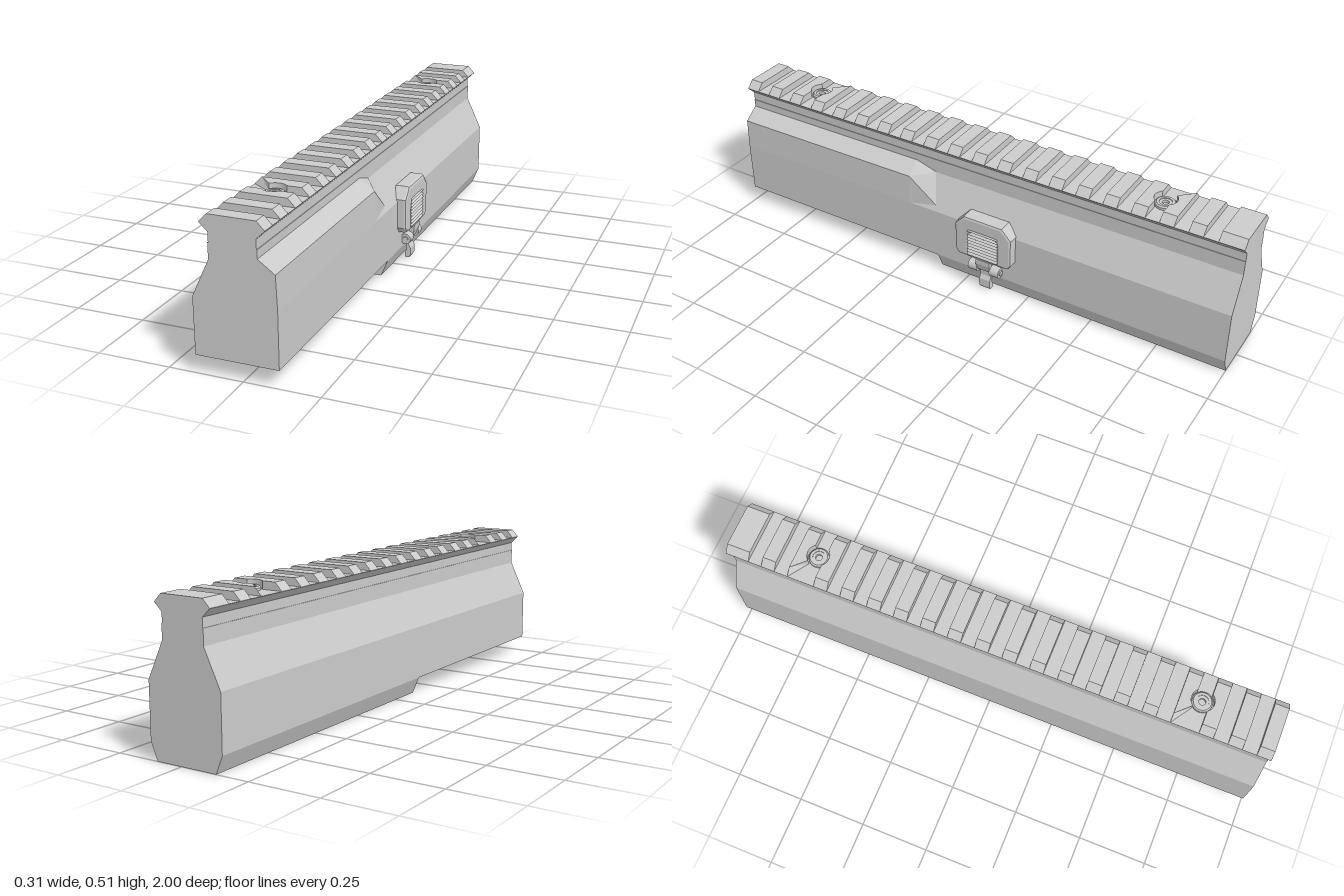
import * as THREE from 'three';
import { ConvexGeometry } from 'three/addons/geometries/ConvexGeometry.js';

const CX = -0.019; // middle plane of the housing
const mat = new THREE.MeshStandardMaterial({ color: 0xcccccc });

function part(parent, name, geometry) {
  const mesh = new THREE.Mesh(geometry, mat);
  mesh.name = name;
  parent.add(mesh);
  return mesh;
}

const outline = (pts) => new THREE.Shape(pts.map(([x, y]) => new THREE.Vector2(x, y)));

// Close a half profile by mirroring it across the middle plane
const mirrored = (half) => [
  ...half.map(([d, y]) => [CX + d, y]),
  ...half.slice().reverse().map(([d, y]) => [CX - d, y]),
];

// Prism with an x-y outline running from z0 to z1
function prism(pts, z0, z1) {
  const g = new THREE.ExtrudeGeometry(outline(pts), { depth: z1 - z0, bevelEnabled: false });
  return g.translate(0, 0, z0);
}

// Rail tooth from its plan, ends sloped inwards; notch = 1 or -1 clears a screw on that z side
function tooth(z0, z1, notch, screwZ) {
  const s = new THREE.Shape();
  const w = 0.105, r = 0.04;
  s.moveTo(CX - w, -z1);
  if (notch === 1) {
    const a = Math.acos((screwZ - z1) / r);
    s.absarc(CX, -screwZ, r, Math.PI / 2 + a, Math.PI / 2 - a, true);
  }
  s.lineTo(CX + w, -z1);
  s.lineTo(CX + w, -z0);
  if (notch === -1) {
    const a = Math.acos((z0 - screwZ) / r);
    s.absarc(CX, -screwZ, r, -Math.PI / 2 + a, -Math.PI / 2 - a, true);
  }
  s.lineTo(CX - w, -z0);
  const g = new THREE.ExtrudeGeometry(s, { depth: 0.027, bevelEnabled: false, curveSegments: 10 });
  const p = g.attributes.position;
  for (let i = 0; i < p.count; i++) {
    const d = p.getX(i) - CX;
    if (p.getZ(i) > 0.02 && Math.abs(d) > 0.1) p.setX(i, CX + Math.sign(d) * (w - 0.026));
  }
  g.computeVertexNormals();
  return g.rotateX(-Math.PI / 2).translate(0, 0.488, 0);
}

function buildHousing(root) {
  const g = new THREE.Group();
  g.name = 'housing';
  part(g, 'mainBody', prism(mirrored([[0.138, 0.06], [0.138, 0.25], [0.079, 0.375], [0.079, 0.428]]), -1, 1));
  part(g, 'rearBelly', prism(mirrored([[0.113, 0], [0.138, 0.06]]), -1, 0.12));
  // Shoulder on the left front, tapering into the sloped flank
  const ring = [[0.119, 0.25], [0.115, 0.36], [0.06, 0.4], [0.06, 0.375], [0.06, 0.26]];
  const pts = [];
  for (const z of [1, 0.24]) for (const [x, y] of ring) pts.push(new THREE.Vector3(x, y, z));
  pts.push(new THREE.Vector3(0.11, 0.27, 0.13), new THREE.Vector3(0.06, 0.376, 0.16));
  part(g, 'sideShoulder', new ConvexGeometry(pts));
  root.add(g);
}

function buildRail(root) {
  const g = new THREE.Group();
  g.name = 'topRail';
  part(g, 'railBase', prism(mirrored([[0.077, 0.428], [0.077, 0.46], [0.105, 0.487], [0.105, 0.488]]), -1, 1));
  const pitch = 0.1007, screws = [0.724, -0.687];
  for (let i = 0; i < 20; i++) {
    const z1 = 1 - i * pitch;
    const z0 = i === 19 ? -1 : z1 - 0.05;
    const near = screws.find((z) => Math.abs(z - (z0 + z1) / 2) < 0.07);
    const notch = near === undefined ? 0 : near > z1 ? 1 : -1;
    part(g, 'railTooth', tooth(z0, z1, notch, near));
  }
  // Screws sunk between the teeth
  for (const z of screws) {
    const prof = [[0, 0.484], [0.012, 0.484], [0.012, 0.498], [0.022, 0.498], [0.022, 0.501],
      [0.031, 0.501], [0.036, 0.496], [0.036, 0.486]];
    const head = new THREE.LatheGeometry(prof.map(([x, y]) => new THREE.Vector2(x, y)).reverse(), 24);
    const flat = head.toNonIndexed();
    flat.computeVertexNormals();
    const m = part(g, 'railScrew', flat);
    m.material = new THREE.MeshStandardMaterial({ color: 0xcccccc, side: THREE.DoubleSide });
    m.position.set(CX, 0, z);
  }
  root.add(g);
}

function buildCatch(root) {
  const g = new THREE.Group();
  g.name = 'sideCatch';
  const cz = -0.09;

  // Raised guard: an arch open at the bottom with bevelled edges
  const half = [[0.077, 0.141], [0.095, 0.141], [0.105, 0.155], [0.105, 0.255], [0.073, 0.289]];
  const inner = [[0.045, 0.25], [0.066, 0.228], [0.066, 0.141]];
  const arch = [...half, ...half.slice().reverse().map(([u, v]) => [-u, v]),
    ...inner.slice().reverse().map(([u, v]) => [-u, v]), ...inner];
  const guard = new THREE.ExtrudeGeometry(outline(arch), {
    depth: 0.04, bevelThickness: 0.01, bevelSize: 0.01, bevelSegments: 2,
  });
  part(g, 'guardArch', guard.rotateY(Math.PI / 2).translate(0.102, 0, cz));

  // Press pad with horizontal grip ribs
  const pad = [[0.1, 0.132], [0.149, 0.132]];
  for (let i = 0; i < 9; i++) {
    const y = 0.137 + i * 0.0125;
    pad.push([0.149, y], [0.156, y + 0.006]);
  }
  pad.push([0.149, 0.2515], [0.143, 0.262], [0.1, 0.262]);
  part(g, 'ribbedPad', prism(pad, cz - 0.061, cz + 0.061));

  // Arm under the pad, hinge and release lever
  part(g, 'hingeArm', prism([[0.122, 0.085], [0.142, 0.085], [0.153, 0.115], [0.153, 0.134], [0.137, 0.134], [0.135, 0.115]],
    cz - 0.028, cz + 0.028));
  for (const s of [-1, 1]) {
    const knob = part(g, 'hingeKnob', new THREE.CylinderGeometry(0.02, 0.02, 0.036, 20).rotateX(Math.PI / 2));
    knob.position.set(0.131, 0.09, cz + s * 0.044);
  }
  part(g, 'hingePin', new THREE.CylinderGeometry(0.01, 0.01, 0.132, 16).rotateX(Math.PI / 2)).position.set(0.131, 0.09, cz);
  part(g, 'hingeBase', new THREE.BoxGeometry(0.02, 0.03, 0.1)).position.set(0.12, 0.09, cz);
  part(g, 'releaseLever', prism([[0.116, 0.003], [0.132, 0.003], [0.137, 0.012], [0.137, 0.04], [0.129, 0.055],
    [0.131, 0.09], [0.119, 0.09], [0.122, 0.035], [0.115, 0.018]], cz - 0.022, cz + 0.022));
  root.add(g);
}

export function createModel() {
  const root = new THREE.Group();
  root.name = 'railedHousing';
  buildHousing(root);
  buildRail(root);
  buildCatch(root);
  return root;
}
